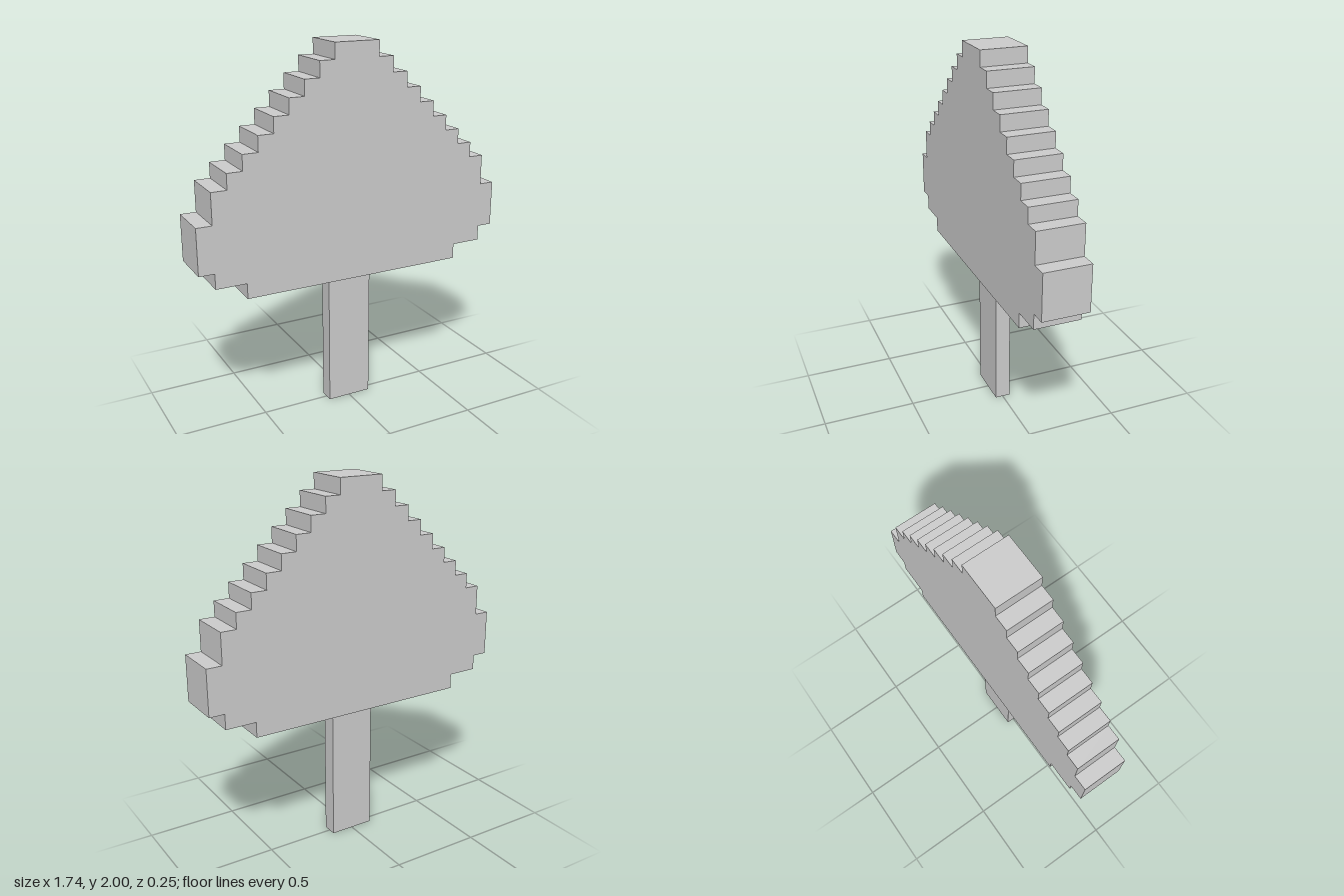
import * as THREE from 'three';

const U = 0.083; // one pixel step
const TOP = 2;

// Half widths and heights of the stepped rows, in steps, from the top down
const ROWS = [
  [1.5, 1], [2.5, 1], [3.5, 1], [4.5, 1], [5.5, 1], [6.5, 1], [7.5, 1], [8.5, 1],
  [9.5, 2], [10.5, 3], [9.5, 1], [7.5, 1],
];

export function createModel() {
  const group = new THREE.Group();
  const material = new THREE.MeshStandardMaterial({ color: 0xcccccc, flatShading: true });

  // Right-hand edge of the stepped outline, from the top down
  const edge = [];
  let y = TOP;
  for (const [halfWidth, height] of ROWS) {
    edge.push(new THREE.Vector2(halfWidth * U, y));
    y -= height * U;
    edge.push(new THREE.Vector2(halfWidth * U, y));
  }
  const mirrored = edge.map((p) => new THREE.Vector2(-p.x, p.y)).reverse();

  // Stepped head, a thick slab
  const depth = 3 * U;
  const headGeometry = new THREE.ExtrudeGeometry(new THREE.Shape([...edge, ...mirrored]), {
    depth,
    bevelEnabled: false,
  });
  headGeometry.translate(0, 0, -depth / 2);
  const head = new THREE.Mesh(headGeometry, material);
  head.name = 'head';
  group.add(head);

  // Thin flat stick from the ground to the underside of the head
  const stick = new THREE.Mesh(new THREE.BoxGeometry(3 * U, y, U), material);
  stick.position.y = y / 2;
  stick.name = 'stick';
  group.add(stick);

  return group;
}
